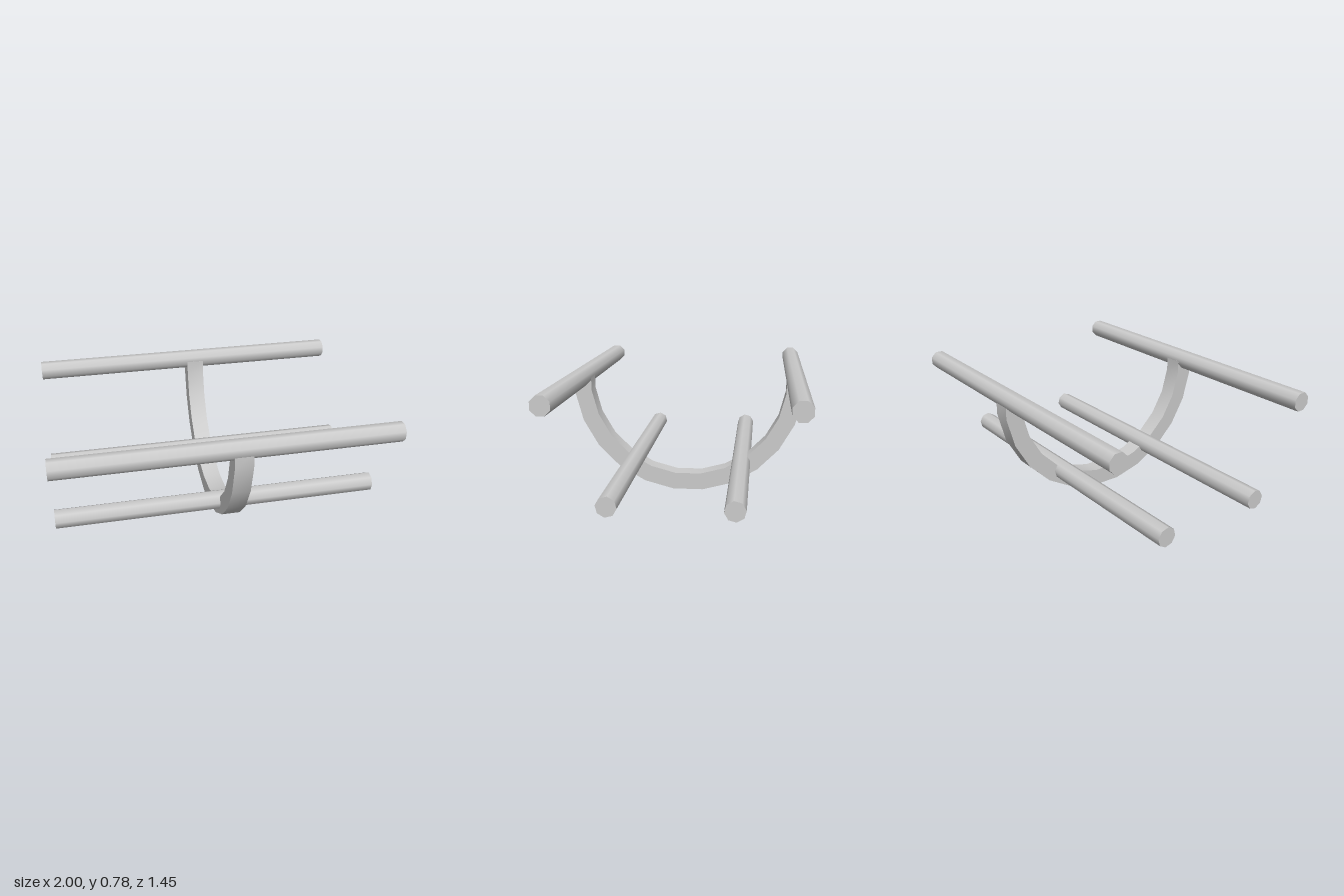
import * as THREE from 'three';
import { toCreasedNormals } from 'three/addons/utils/BufferGeometryUtils.js';

const CENTER_Y = 0.72; // height of the arc's centre
const WIDTH = 0.11;

export function createModel() {
  const model = new THREE.Group();
  model.name = 'railCradle';
  const material = new THREE.MeshStandardMaterial({ color: 0xcccccc });

  // Half-ring rib: outer edge one way, inner edge back, in 15 degree facets
  const arcPoints = (radius) => {
    const at = (deg) => {
      const a = THREE.MathUtils.degToRad(deg);
      return new THREE.Vector2(radius * Math.sin(a), CENTER_Y - radius * Math.cos(a));
    };
    const points = [];
    for (let deg = -82.5; deg <= 82.5; deg += 15) points.push(at(deg));
    // straight ends rise to the centre height
    points.unshift(new THREE.Vector2(points[0].x, CENTER_Y));
    points.push(new THREE.Vector2(-points[0].x, CENTER_Y));
    return points;
  };
  const outline = new THREE.Shape([...arcPoints(0.727), ...arcPoints(0.62).reverse()]);
  const ribGeometry = new THREE.ExtrudeGeometry(outline, { depth: WIDTH, bevelEnabled: false });
  ribGeometry.rotateY(Math.PI / 2);
  const rib = new THREE.Mesh(toCreasedNormals(ribGeometry, Math.PI / 6), material);
  rib.name = 'curvedRib';
  model.add(rib);

  // Eight-sided rods along x, with a flat side on top
  const rodGeometry = new THREE.CylinderGeometry(0.0595, 0.0595, 2, 8, 1, false, Math.PI / 8);
  rodGeometry.rotateZ(-Math.PI / 2);

  const addRodPair = (name, y, z, tilt) => {
    for (const side of [1, -1]) {
      const rod = new THREE.Mesh(rodGeometry, material);
      rod.name = (side > 0 ? 'front' : 'back') + name;
      rod.position.set(0, y, side * z);
      rod.rotation.x = -side * tilt;
      model.add(rod);
    }
  };
  addRodPair('UpperRod', 0.725, 0.67, 0);
  addRodPair('LowerRod', 0.189, 0.341, Math.PI / 6);

  return model;
}
